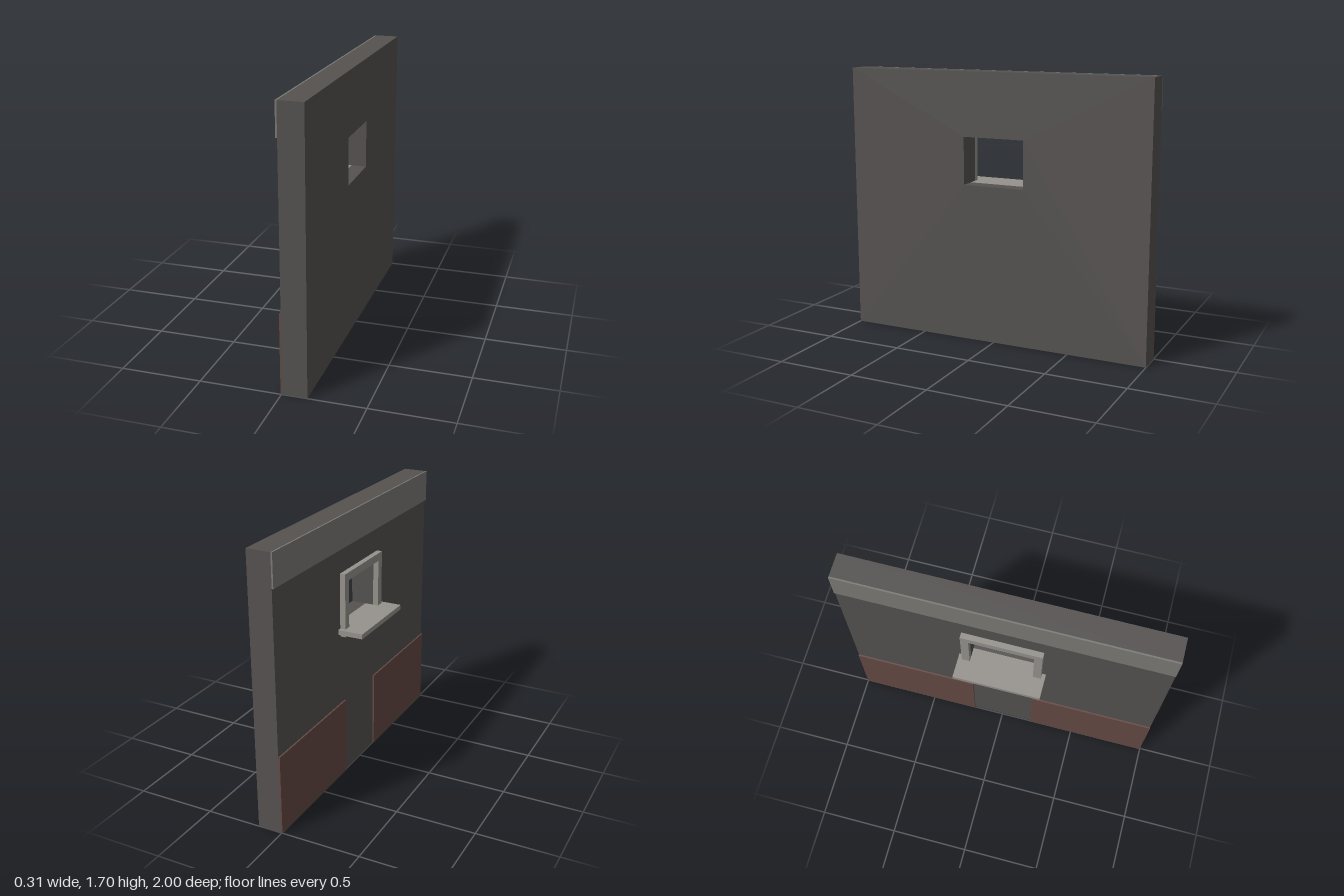
import * as THREE from 'three';

const WALL_BACK = 0.005, WALL_FRONT = 0.155;

const material = (color) => new THREE.MeshStandardMaterial({ color });

// Box given by its lower and upper limits on each axis
function block(name, [x0, x1], [y0, y1], [z0, z1], mat) {
  const mesh = new THREE.Mesh(new THREE.BoxGeometry(x1 - x0, y1 - y0, z1 - z0), mat);
  mesh.position.set((x0 + x1) / 2, (y0 + y1) / 2, (z0 + z1) / 2);
  mesh.name = name;
  return mesh;
}

// Slab standing in the y-z plane between x0 and x1, pierced by the window opening
function piercedSlab(name, [x0, x1], [y0, y1], halfWidth, mat) {
  const shape = new THREE.Shape([
    new THREE.Vector2(-halfWidth, y0), new THREE.Vector2(halfWidth, y0),
    new THREE.Vector2(halfWidth, y1), new THREE.Vector2(-halfWidth, y1),
  ]);
  shape.holes.push(new THREE.Path([
    new THREE.Vector2(-0.2, 1), new THREE.Vector2(-0.2, 1.3),
    new THREE.Vector2(0.2, 1.3), new THREE.Vector2(0.2, 1),
  ]));
  const geometry = new THREE.ExtrudeGeometry(shape, { depth: x1 - x0, bevelEnabled: false });
  geometry.rotateY(Math.PI / 2).translate(x0, 0, 0);
  const mesh = new THREE.Mesh(geometry, mat);
  mesh.name = name;
  return mesh;
}

export function createModel() {
  const model = new THREE.Group();
  model.name = 'wallWithWindow';
  const wallMat = material(0x555250);
  const trimMat = material(0x96938e);
  const bandMat = material(0x7c7a76);
  const panelMat = material(0x654a45);

  // Main wall with window opening
  model.add(piercedSlab('wall', [WALL_BACK, WALL_FRONT], [0, 1.7], 1, wallMat));

  // Window surround and projecting sill, which runs partway into the opening
  model.add(piercedSlab('windowFrame', [-0.03, WALL_BACK], [0.95, 1.35], 0.25, trimMat));
  model.add(block('windowSill', [-0.155, 0.06], [0.97, 1.001], [-0.275, 0.275], trimMat));

  // Thin band along the top
  model.add(block('topBand', [-0.005, WALL_BACK], [1.5, 1.7], [-1, 1], bandMat));

  // Low panels either side of the central gap
  for (const [name, z] of [['rearLowerPanel', [-1, -0.2]], ['frontLowerPanel', [0.2, 1]]]) {
    model.add(block(name, [-0.005, WALL_BACK], [0, 0.5], z, panelMat));
  }
  return model;
}
